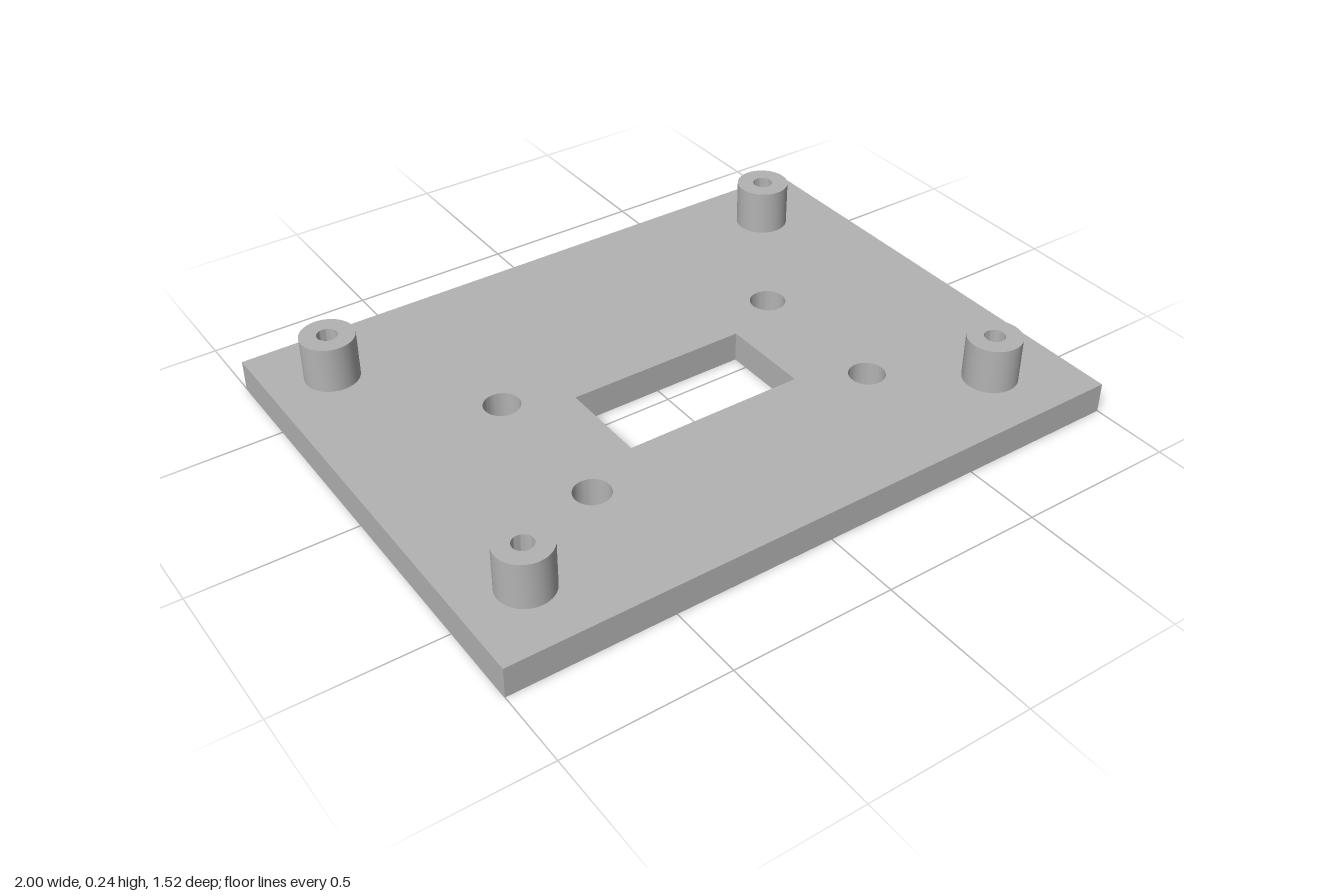
import * as THREE from 'three';
import { toCreasedNormals } from 'three/addons/utils/BufferGeometryUtils.js';

const PLATE_TOP = 0.095;
const POST_TOP = 0.238;

function circle(x, z, r) {
  return new THREE.Path().absarc(x, z, r, 0, Math.PI * 2, true);
}

function rectangle(Type, x0, x1, z0, z1) {
  return new Type([[x0, z0], [x1, z0], [x1, z1], [x0, z1]].map(([x, z]) => new THREE.Vector2(x, z)));
}

// Extrudes an outline drawn in (x, z) between two heights, keeping the rims sharp
function slab(shape, bottom, top) {
  const geometry = new THREE.ExtrudeGeometry(shape, { depth: top - bottom, bevelEnabled: false, curveSegments: 24 });
  geometry.rotateX(Math.PI / 2).translate(0, top, 0);
  return toCreasedNormals(geometry, 0.6);
}

export function createModel() {
  const model = new THREE.Group();
  model.name = 'mountingPlate';
  const grey = new THREE.MeshStandardMaterial({ color: 0xb3b3b3 });
  grey.name = 'grey';

  // Base plate with a rectangular window and four screw holes around it
  const outline = rectangle(THREE.Shape, -1, 1, -0.762, 0.762);
  outline.holes.push(rectangle(THREE.Path, -0.286, 0.286, -0.052, 0.234));
  for (const x of [-0.476, 0.476]) {
    for (const z of [-0.143, 0.333]) outline.holes.push(circle(x, z, 0.055));
  }
  const plate = new THREE.Mesh(slab(outline, 0, PLATE_TOP), grey);
  plate.name = 'basePlate';
  model.add(plate);

  // Hollow standoff posts near the corners
  const ring = new THREE.Shape().absarc(0, 0, 0.082, 0, Math.PI * 2, false);
  ring.holes.push(circle(0, 0, 0.031));
  const postGeometry = slab(ring, PLATE_TOP, POST_TOP);
  for (const [side, x] of [['right', -0.81], ['left', 0.76]]) {
    for (const [end, z] of [['Back', -0.548], ['Front', 0.548]]) {
      const post = new THREE.Mesh(postGeometry, grey);
      post.name = `${side}${end}Standoff`;
      post.position.set(x, 0, z);
      model.add(post);
    }
  }
  return model;
}
